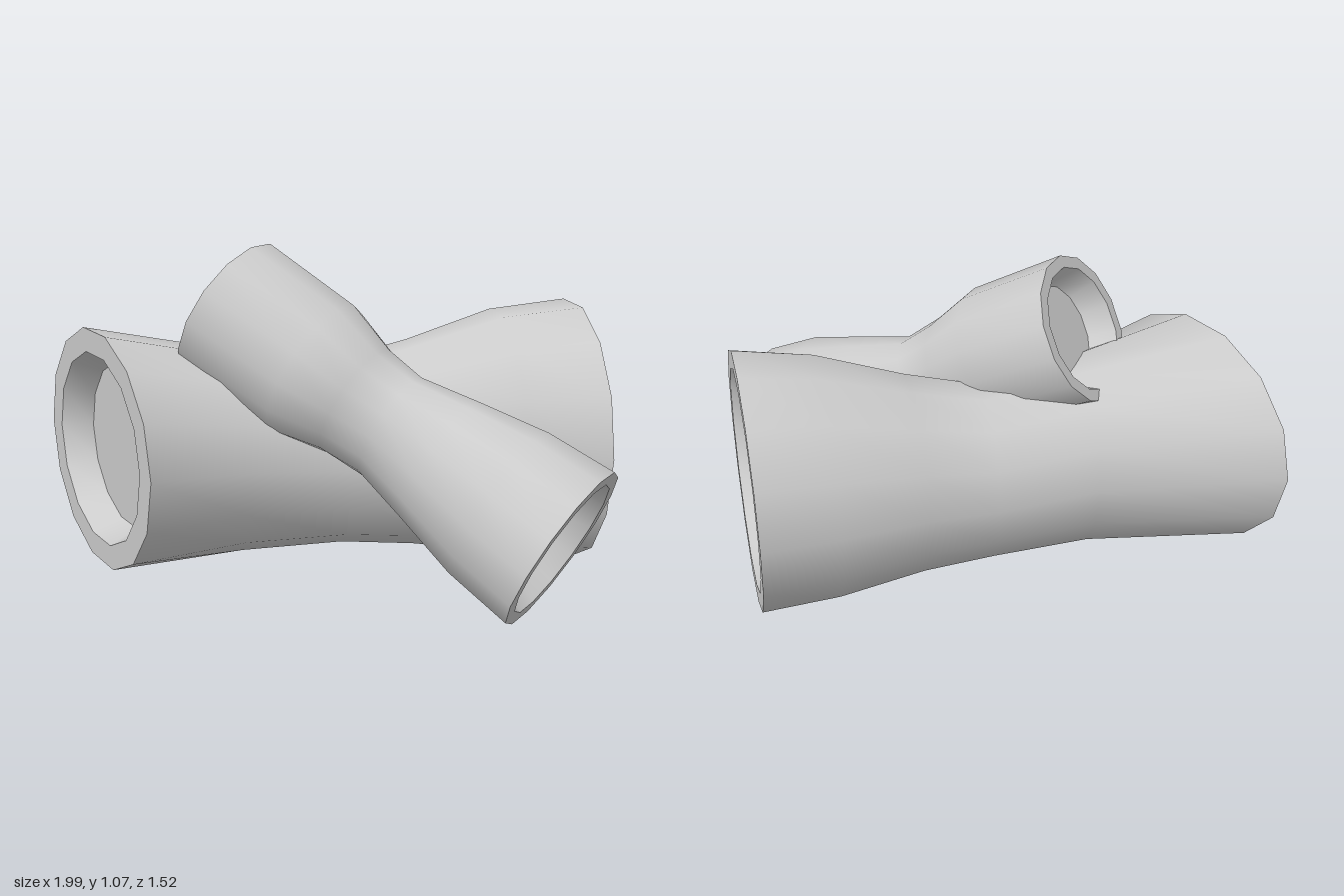
import * as THREE from 'three';

const SIDES = 14;

// Indexed strip through a list of rings (smooth inside, creased at its borders)
function strip(rings) {
  const pos = rings.flat().flatMap((p) => p.toArray());
  const index = [];
  for (let i = 0; i < rings.length - 1; i++) {
    for (let k = 0; k < SIDES; k++) {
      const a = i * SIDES + k, b = i * SIDES + ((k + 1) % SIDES);
      index.push(a, b, b + SIDES, a, b + SIDES, a + SIDES);
    }
  }
  return toGeometry(pos, index);
}

// Flat floor closing a ring
function cap(ring, flip) {
  const index = [];
  for (let k = 1; k < SIDES - 1; k++) index.push(0, flip ? k + 1 : k, flip ? k : k + 1);
  return toGeometry(ring.flatMap((p) => p.toArray()), index);
}

function toGeometry(pos, index) {
  const geo = new THREE.BufferGeometry();
  geo.setAttribute('position', new THREE.Float32BufferAttribute(pos, 3));
  geo.setIndex(index);
  geo.computeVertexNormals();
  return geo;
}

// Waisted tube with a rim and a shallow recess at each end.
// rows: t along the axis, ds/du centre offsets, a/b half width and height, tilt of the ring
function waistedTube(name, origin, direction, rows, rimScales, floorShift) {
  const d = direction.clone().normalize();
  const s = new THREE.Vector3(0, 1, 0).cross(d).normalize();
  const u = d.clone().cross(s);
  const ring = ({ t, ds = 0, du = 0, a, b, tilt = 0 }, scale = 1, dt = 0, shift = 0) =>
    Array.from({ length: SIDES }, (_, k) => {
      const ang = (k / SIDES) * Math.PI * 2;
      const c = Math.cos(ang) * scale, q = Math.sin(ang) * scale;
      return origin.clone()
        .addScaledVector(d, t + dt + tilt * c)
        .addScaledVector(s, ds + shift + a * c)
        .addScaledVector(u, du + b * q);
    });

  const group = new THREE.Group();
  group.name = name;
  const material = new THREE.MeshStandardMaterial({ color: 0xcccccc });
  const add = (part, geo) => {
    const mesh = new THREE.Mesh(geo, material);
    mesh.name = part;
    group.add(mesh);
  };

  add('tubeWall', strip(rows.map((r) => ring(r))));

  [rows[0], rows[rows.length - 1]].forEach((row, end) => {
    const depth = end ? -0.1 : 0.09;
    const outer = ring(row);
    const inner = ring(row, rimScales[end]);
    const floor = ring(row, 0.69, depth, floorShift[end]);
    const order = (list) => (end ? list : list.reverse());
    add('endRim', strip(order([outer, inner])));
    add('recessWall', strip(order([inner, floor])));
    add('recessFloor', cap(floor, !end));
  });
  return group;
}

export function createModel() {
  const model = new THREE.Group();
  model.name = 'crossedTubes';

  // Large level tube, one end cut at a slant
  model.add(waistedTube('largeTube',
    new THREE.Vector3(0, 0, 0), new THREE.Vector3(0.829, 0, -0.559),
    [
      { t: -0.79, ds: -0.039, du: 0.44, a: 0.432, b: 0.39, tilt: -0.149 },
      { t: -0.334, ds: -0.026, du: 0.41, a: 0.292, b: 0.33 },
      { t: 0, ds: 0, du: 0.388, a: 0.272, b: 0.307 },
      { t: 0.24, ds: -0.008, du: 0.41, a: 0.31, b: 0.345 },
      { t: 0.53, ds: -0.015, du: 0.44, a: 0.395, b: 0.41 },
      { t: 0.787, ds: -0.039, du: 0.445, a: 0.437, b: 0.436 },
    ], [0.8, 0.86], [0.03, 0]));

  // Small sloping tube crossing over it
  const high = new THREE.Vector3(-0.285, 0.873, 0.205);
  const low = new THREE.Vector3(0.86, 0.258, 0.315);
  const axis = low.clone().sub(high);
  const half = axis.length() / 2;
  model.add(waistedTube('smallTube',
    high.clone().add(low).multiplyScalar(0.5), axis,
    [
      { t: -half, a: 0.25, b: 0.25 },
      { t: -0.3, a: 0.228, b: 0.242 },
      { t: -0.13, ds: 0.01, du: -0.005, a: 0.178, b: 0.192 },
      { t: 0, ds: 0.035, du: -0.02, a: 0.145, b: 0.185 },
      { t: 0.2, ds: 0.02, du: -0.01, a: 0.19, b: 0.222 },
      { t: 0.43, a: 0.25, b: 0.262 },
      { t: half, a: 0.278, b: 0.275 },
    ], [0.84, 0.84], [0, 0]));

  return model;
}
